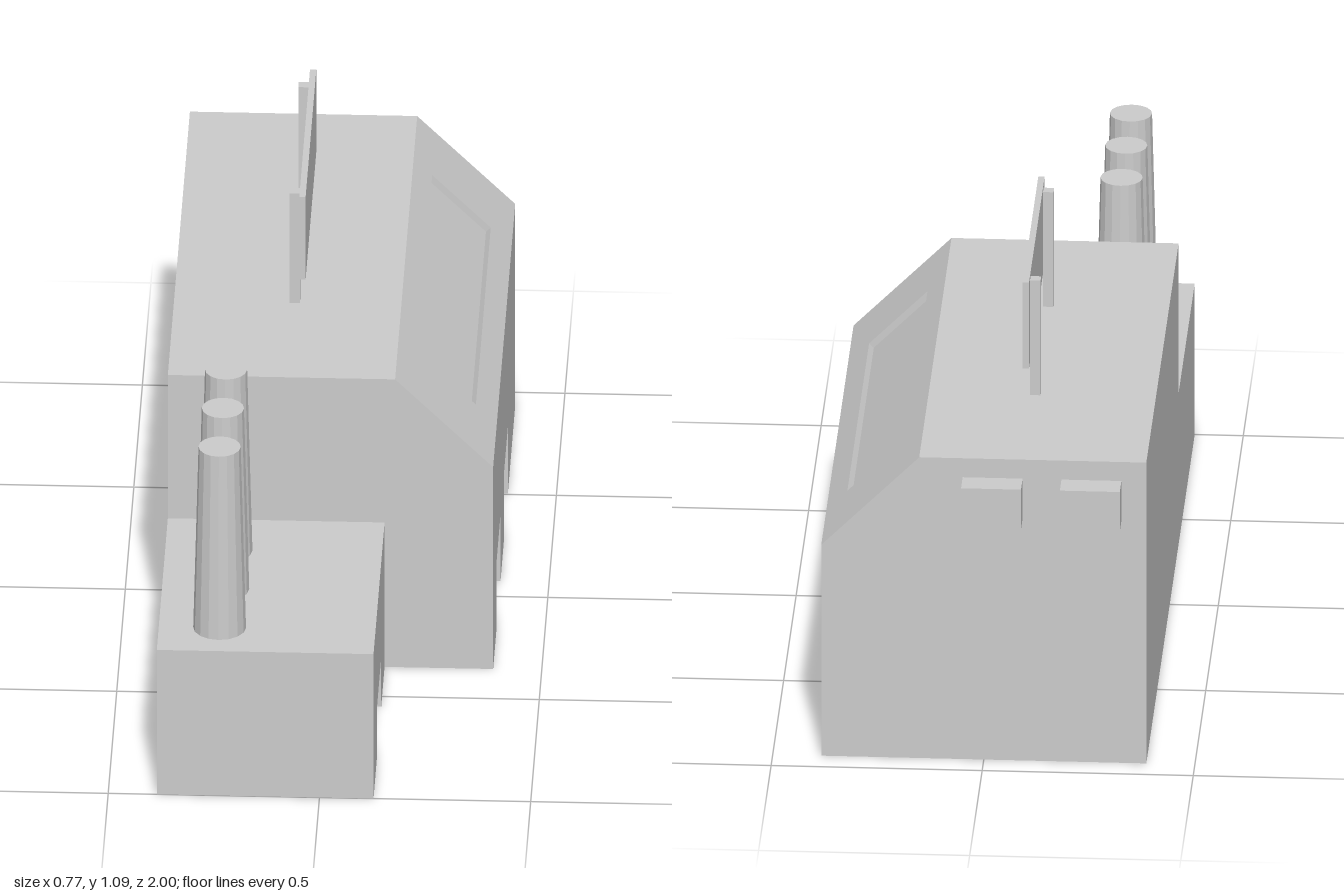
import * as THREE from 'three';

const V = (x, y, z) => new THREE.Vector3(x, y, z);
const shell = new THREE.MeshStandardMaterial({ color: 0xcccccc, side: THREE.DoubleSide, flatShading: true });
const solid = new THREE.MeshStandardMaterial({ color: 0xcccccc, flatShading: true });

// Main hall and annex extents
const LEFT = -0.385, RIGHT = 0.385, BACK = -0.935, MID = 0.355, FRONT = 1;
const ROOF = 0.777, EAVE = 0.545, RIDGE = 0.153;
const ANNEX_RIGHT = 0.128, ANNEX_H = 0.39;
const DEPTH = 0.016;

export function createModel() {
  const model = new THREE.Group();

  function add(name, geometry, material, parent = model) {
    const mesh = new THREE.Mesh(geometry, material);
    mesh.name = name;
    parent.add(mesh);
    return mesh;
  }

  // Open-sided tray set behind a wall opening; openings on the ground have no sill
  function recessGeometry([u0, u1, v0, v1]) {
    const ring = [[u0, v0], [u0, v1], [u1, v1], [u1, v0]];
    const pos = [];
    const quad = (a, b, c, d) => pos.push(...a, ...b, ...c, ...a, ...c, ...d);
    const back = ring.map(p => [...p, -DEPTH]);
    quad(back[0], back[3], back[2], back[1]);
    const sides = v0 > 0 ? 4 : 3;
    for (let i = 0; i < sides; i++) {
      const j = (i + 1) % 4;
      quad([...ring[i], 0], back[i], back[j], [...ring[j], 0]);
    }
    const geometry = new THREE.BufferGeometry();
    geometry.setAttribute('position', new THREE.Float32BufferAttribute(pos, 3));
    geometry.computeVertexNormals();
    return geometry;
  }

  // Flat wall spanned by directions u and v, facing u x v
  function wall(name, origin, u, v, outline, recesses = [], recessName = 'door') {
    const group = new THREE.Group();
    group.name = name;
    const n = u.clone().cross(v);
    group.applyMatrix4(new THREE.Matrix4().makeBasis(u, v, n).setPosition(origin));
    const points = [outline[0]];
    for (const [u0, u1, v0, v1] of recesses) {
      if (v0 === 0) points.push([u0, 0], [u0, v1], [u1, v1], [u1, 0]);
    }
    points.push(...outline.slice(1));
    const toPoints = list => list.map(p => new THREE.Vector2(...p));
    const shape = new THREE.Shape(toPoints(points));
    for (const r of recesses) {
      const [u0, u1, v0, v1] = r;
      if (v0 > 0) shape.holes.push(new THREE.Path(toPoints([[u0, v0], [u0, v1], [u1, v1], [u1, v0]])));
      add(recessName, recessGeometry(r), shell, group);
    }
    add(name + 'Surface', new THREE.ShapeGeometry(shape), shell, group);
    model.add(group);
  }

  const rect = (w, h) => [[0, 0], [w, 0], [w, h], [0, h]];
  const X = V(1, 0, 0), Y = V(0, 1, 0), Z = V(0, 0, 1);
  const NX = V(-1, 0, 0), NZ = V(0, 0, -1);
  const width = RIGHT - LEFT, length = MID - BACK;

  // Main hall, open underneath, with one sloping roof side
  const ridge = RIDGE - LEFT;
  wall('hallFront', V(LEFT, 0, MID), X, Y, [[0, 0], [width, 0], [width, EAVE], [ridge, ROOF], [0, ROOF]]);
  wall('hallBack', V(RIGHT, 0, BACK), NX, Y,
    [[0, 0], [width, 0], [width, ROOF], [width - ridge, ROOF], [0, EAVE]]);
  wall('hallLeftWall', V(LEFT, 0, BACK), Z, Y, rect(length, ROOF));
  wall('hallDoorWall', V(RIGHT, 0, MID), NZ, Y, rect(length, EAVE),
    [[0.21, 0.43, 0, 0.18], [0.645, 0.86, 0, 0.18]]);
  wall('hallRoof', V(LEFT, ROOF, MID), X, NZ, rect(ridge, length));

  // Sloping roof with a long recessed skylight
  const slope = V(RIDGE - RIGHT, ROOF - EAVE, 0);
  const slopeLength = slope.length();
  wall('slopedRoof', V(RIGHT, EAVE, MID), NZ, slope.normalize(), rect(length, slopeLength),
    [[0.215, 1.082, 0.07, 0.266]], 'skylight');

  // Annex, also open underneath
  const annexW = ANNEX_RIGHT - LEFT, annexL = FRONT - MID;
  wall('annexFront', V(LEFT, 0, FRONT), X, Y, rect(annexW, ANNEX_H));
  wall('annexLeftWall', V(LEFT, 0, MID), Z, Y, rect(annexL, ANNEX_H));
  wall('annexDoorWall', V(ANNEX_RIGHT, 0, FRONT), NZ, Y, rect(annexL, ANNEX_H), [[0.19, 0.45, 0, 0.135]]);
  wall('annexRoof', V(LEFT, ANNEX_H, FRONT), X, NZ, rect(annexW, annexL));

  // Tapered chimneys
  for (const z of [0.883, 0.694, 0.505]) {
    add('chimney', new THREE.CylinderGeometry(0.05, 0.0625, 0.488, 16), solid)
      .position.set(-0.241, ANNEX_H + 0.244, z);
  }

  function box(name, x0, x1, y0, y1, z0, z1) {
    add(name, new THREE.BoxGeometry(x1 - x0, y1 - y0, z1 - z0), solid)
      .position.set((x0 + x1) / 2, (y0 + y1) / 2, (z0 + z1) / 2);
  }

  // Roof sign on two posts
  box('signBoard', -0.087, -0.072, 0.863, 1.085, -0.595, 0.03);
  for (const z of [-0.022, -0.542]) box('signPost', -0.112, -0.087, ROOF, 1.073, z - 0.013, z + 0.013);

  // Vent boxes on the back wall
  for (const x of [-0.255, -0.021]) box('vent', x - 0.071, x + 0.071, 0.625, 0.728, -1, BACK);

  return model;
}
